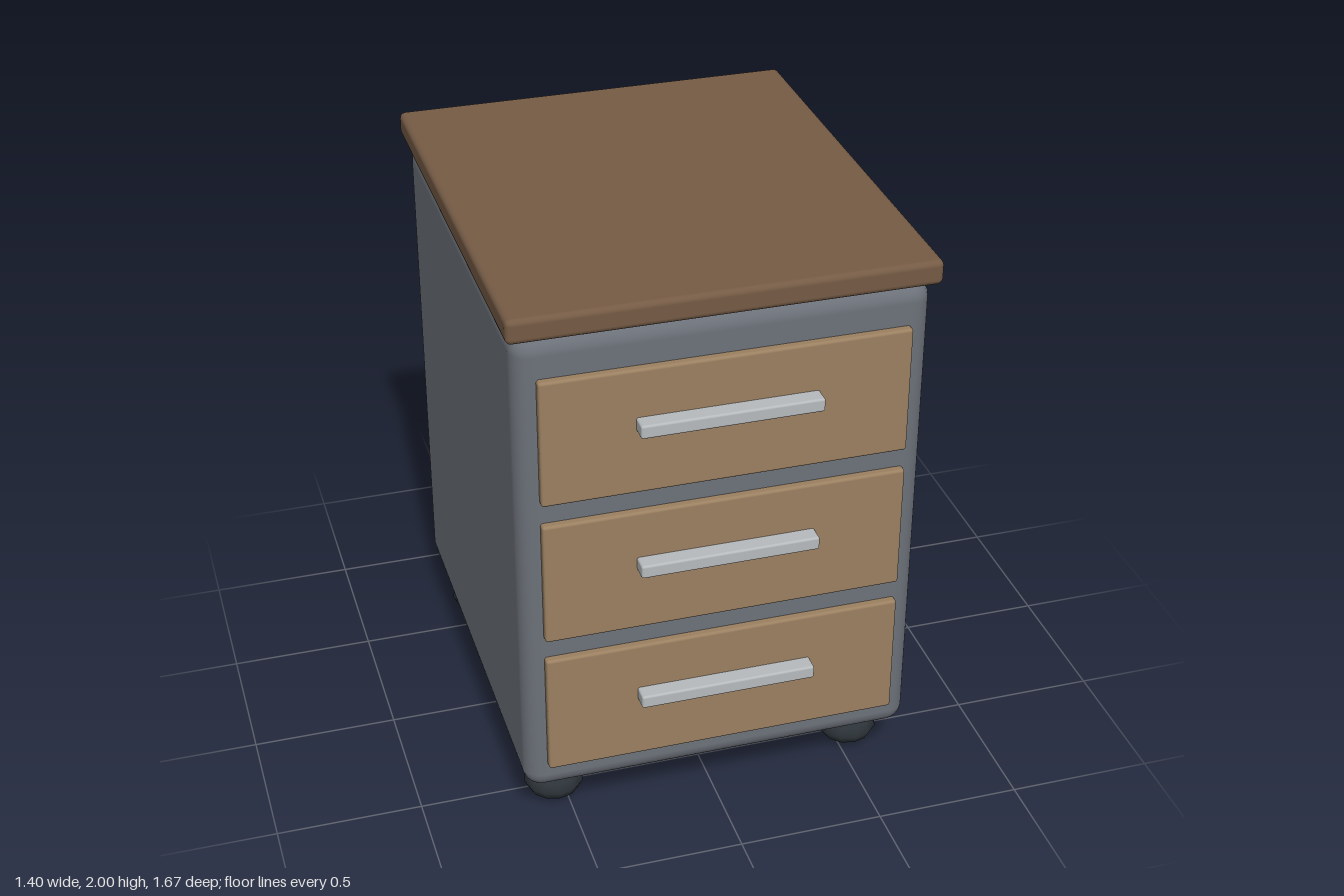
import * as THREE from 'three';
import { RoundedBoxGeometry } from 'three/addons/geometries/RoundedBoxGeometry.js';

const paint = (name, color) => {
  const m = new THREE.MeshStandardMaterial({ color });
  m.name = name;
  return m;
};

export function createModel() {
  const cabinet = new THREE.Group();
  cabinet.name = 'drawerCabinet';

  const greyShell = paint('grey shell', 0x6c7179);
  const darkWood = paint('dark wood', 0x755b45);
  const lightWood = paint('light wood', 0x9b8061);
  const metal = paint('brushed metal', 0xb6babd);
  const stemMetal = paint('stem metal', 0xb8b5b5);
  const rubber = paint('dark rubber', 0x2c3338);

  // Rounded box given by its lower and upper corners
  const box = (name, material, [x0, y0, z0], [x1, y1, z1], radius, segments, parent = cabinet) => {
    const geometry = new RoundedBoxGeometry(x1 - x0, y1 - y0, z1 - z0, segments, radius);
    const mesh = new THREE.Mesh(geometry, material);
    mesh.name = name;
    mesh.position.set((x0 + x1) / 2, (y0 + y1) / 2, (z0 + z1) / 2);
    parent.add(mesh);
  };

  // Shell and worktop
  box('body', greyShell, [-0.68, 0.18, -0.8], [0.68, 1.915, 0.75], 0.065, 3);
  box('worktop', darkWood, [-0.7, 1.915, -0.835], [0.7, 2, 0.775], 0.02, 2);

  // Three drawers, each with a bar handle
  for (let i = 0; i < 3; i++) {
    const drawer = new THREE.Group();
    drawer.name = 'drawer';
    drawer.position.y = 0.29 + i * 0.52;
    box('drawerFront', lightWood, [-0.607, 0, 0.715], [0.607, 0.445, 0.778], 0.01, 2, drawer);
    box('handle', metal, [-0.3, 0.229, 0.768], [0.3, 0.276, 0.835], 0.008, 2, drawer);
    cabinet.add(drawer);
  }

  // Four rounded feet on short stems
  const footProfile = [
    [0, 0], [0.05, 0.01], [0.088, 0.033], [0.105, 0.066],
    [0.09, 0.096], [0.054, 0.12], [0, 0.128],
  ].map(([x, y]) => new THREE.Vector2(x, y));
  const footGeometry = new THREE.LatheGeometry(footProfile, 12);
  const stemGeometry = new THREE.CylinderGeometry(0.053, 0.053, 0.09, 16);

  for (const x of [-0.54, 0.54]) {
    for (const z of [-0.6, 0.545]) {
      const foot = new THREE.Group();
      foot.name = 'foot';
      foot.position.set(x, 0, z);
      const pad = new THREE.Mesh(footGeometry, rubber);
      pad.name = 'footPad';
      const stem = new THREE.Mesh(stemGeometry, stemMetal);
      stem.name = 'footStem';
      stem.position.y = 0.15;
      foot.add(pad, stem);
      cabinet.add(foot);
    }
  }

  return cabinet;
}
